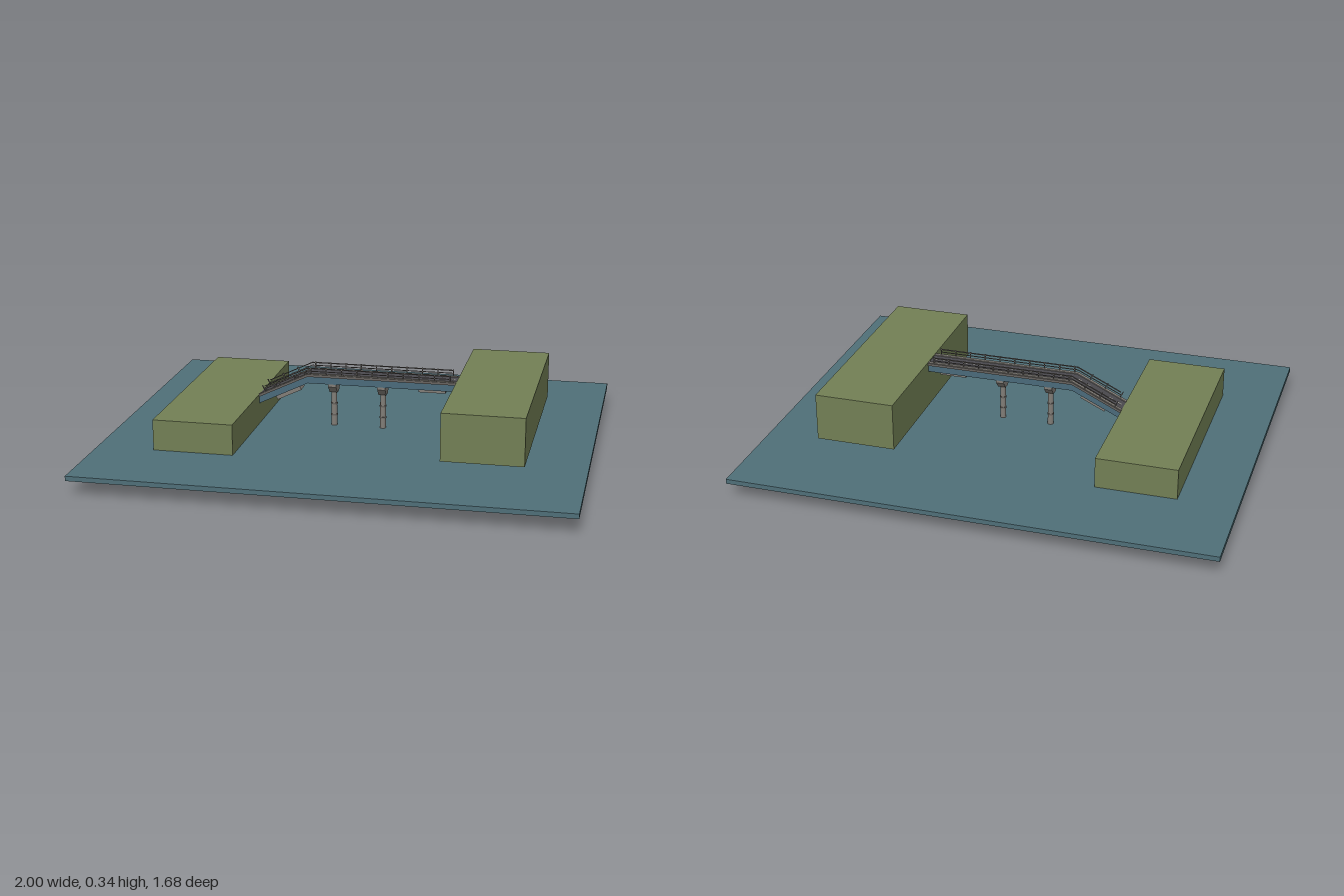
import * as THREE from 'three';

const mat = (name, color) => {
  const m = new THREE.MeshStandardMaterial({ color });
  m.name = name;
  return m;
};

export function createModel() {
  const root = new THREE.Group();
  const water = mat('water', 0x4f6f78);
  const grass = mat('grass', 0x727f55);
  const steel = mat('girder blue', 0x4a6a7a);
  const asphalt = mat('asphalt', 0x4a494e);
  const concrete = mat('concrete', 0x817d77);
  const railing = mat('railing grey', 0x67635f);
  const paint = mat('lane paint', 0xa5a39c);

  const add = (name, geo, material, x = 0, y = 0, z = 0, parent = root) => {
    const m = new THREE.Mesh(geo, material);
    m.name = name;
    m.position.set(x, y, z);
    parent.add(m);
    return m;
  };
  const box = (name, w, h, d, material, x, y, z, parent) =>
    add(name, new THREE.BoxGeometry(w, h, d), material, x, y, z, parent);

  // Water sheet and the two banks
  box('water', 2, 0.02, 1.684, water, 0, 0.073, 0);
  box('lowBank', 0.335, 0.13, 0.948, grass, -0.592, 0.147, 0);
  box('highBank', 0.335, 0.2, 0.948, grass, 0.59, 0.218, 0);

  // Bridge centre line: a ramp, then a level run
  const X0 = -0.425, XK = -0.212, X1 = 0.423, Y0 = 0.21, Y1 = 0.312;
  const angle = Math.atan2(Y1 - Y0, XK - X0);
  const deckY = x => (x < XK ? Y0 + (x - X0) * Math.tan(angle) : Y1);
  const tilt = x => (x < XK - 1e-4 ? angle : 0);

  // Band that follows the deck line between two offsets, from z0 to z1
  const band = (name, xa, xb, lo, hi, z0, z1, material) => {
    const xs = [xa, XK, xb];
    const pts = xs.map(x => new THREE.Vector2(x, deckY(x) + lo))
      .concat(xs.slice().reverse().map(x => new THREE.Vector2(x, deckY(x) + hi)));
    const geo = new THREE.ExtrudeGeometry(new THREE.Shape(pts), { depth: z1 - z0, bevelEnabled: false });
    add(name, geo, material, 0, 0, z0);
  };

  band('girder', X0, X1, -0.038, -0.003, -0.046, 0.046, steel);
  band('road', X0, X1, -0.003, 0.001, -0.034, 0.034, asphalt);

  // Part placed on the deck line and tilted with it
  const onDeck = (name, w, h, d, material, x, up, z) => {
    const a = tilt(x);
    const m = box(name, w, h, d, material, x - Math.sin(a) * up, deckY(x) + Math.cos(a) * up, z);
    m.rotation.z = a;
  };

  // Curbs and railings on both sides
  for (const s of [-1, 1]) {
    const strip = (name, xa, xb, lo, hi, zc, w, material) =>
      band(name, xa, xb, lo, hi, s * zc - w / 2, s * zc + w / 2, material);
    strip('curb', X0, X1, -0.004, 0.005, 0.041, 0.014, concrete);
    strip('edgeBeam', X0, X1, -0.008, 0.003, 0.05, 0.006, railing);
    strip('topRail', -0.4, 0.397, 0.026, 0.03, 0.046, 0.004, railing);
    strip('midRail', -0.4, 0.397, 0.014, 0.017, 0.046, 0.003, railing);
    for (let i = 0; i < 13; i++) {
      const x = -0.396 + i * 0.066;
      onDeck('railPost', 0.004, 0.036, 0.004, railing, x, 0.014, s * 0.046);
    }
  }

  // Four spans, with lane dashes near each end
  const span = (X1 - X0) / 4;
  for (let i = 0; i < 4; i++) {
    for (const t of [0.02, 0.058, span - 0.058, span - 0.02]) {
      onDeck('laneDash', 0.017, 0.002, 0.007, paint, X0 + i * span + t, 0.0012, 0);
    }
  }

  // Bearing slabs below the outer spans
  for (const x of [X0 + span / 2, X1 - span / 2]) {
    onDeck('bearingSlab', 0.115, 0.016, 0.06, concrete, x, -0.045, 0);
  }

  // Two round piers with bands and a flared cap
  for (const x of [-0.107, 0.104]) {
    const pier = new THREE.Group();
    pier.name = 'pier';
    pier.position.x = x;
    root.add(pier);
    add('shaft', new THREE.CylinderGeometry(0.012, 0.013, 0.24, 12), concrete, 0, 0.12, 0, pier);
    for (const y of [0.03, 0.08, 0.13, 0.18]) {
      add('shaftBand', new THREE.CylinderGeometry(0.0145, 0.0145, 0.006, 12), railing, 0, y, 0, pier);
    }
    const cap = new THREE.Shape([[-0.016, 0.232], [0.016, 0.232], [0.044, 0.262], [0.044, 0.276], [-0.044, 0.276], [-0.044, 0.262]]
      .map(p => new THREE.Vector2(...p)));
    const geo = new THREE.ExtrudeGeometry(cap, { depth: 0.034, bevelEnabled: false });
    geo.translate(0, 0, -0.017).rotateY(Math.PI / 2);
    add('pierCap', geo, concrete, 0, 0, 0, pier);
  }
  return root;
}
